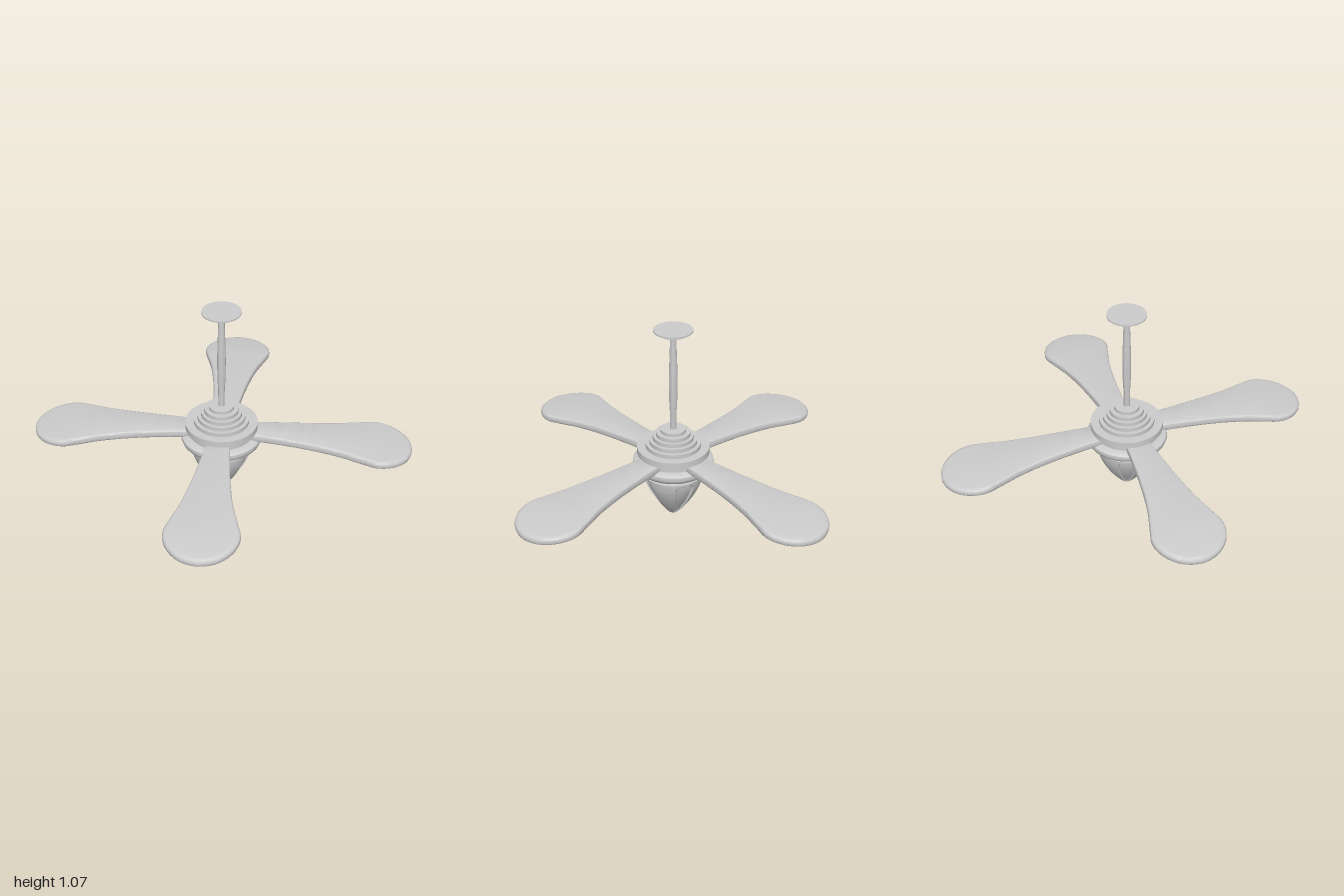
import * as THREE from 'three';
import { toCreasedNormals } from 'three/addons/utils/BufferGeometryUtils.js';

const material = new THREE.MeshStandardMaterial({ color: 0xcccccc, side: THREE.DoubleSide });

function addMesh(parent, name, geometry, crease = 0.6) {
  const mesh = new THREE.Mesh(toCreasedNormals(geometry, crease), material);
  mesh.name = name;
  parent.add(mesh);
  return mesh;
}

// Profile points are [radius, height], listed from bottom to top
function turned(parent, name, profile, segments = 64) {
  const points = profile.map(([r, y]) => new THREE.Vector2(r, y));
  return addMesh(parent, name, new THREE.LatheGeometry(points, segments));
}

// Stack of discs: [radius, bottom, top], listed from bottom to top
function steppedProfile(steps) {
  const profile = [[0, steps[0][1]]];
  for (const [r, y0, y1] of steps) profile.push([r, y0], [r, y1]);
  profile.push([0, steps[steps.length - 1][2]]);
  return profile;
}

// Paddle blade along +x: rounded-edge cross-sections that droop towards the tip
function bladeGeometry() {
  const outline = new THREE.SplineCurve([
    [0.15, 0.062], [0.4, 0.09], [0.6, 0.125], [0.73, 0.163], [0.82, 0.186],
    [0.9, 0.164], [0.96, 0.113], [0.99, 0.055], [1, 0],
  ].map(([x, w]) => new THREE.Vector2(x, w))).getPoints(56);
  // [side, inset from outline, height from the middle]
  const half = [[0.022, 0.021], [0.009, 0.019], [0.002, 0.013], [0, 0.007],
    [0, -0.007], [0.002, -0.013], [0.009, -0.019], [0.022, -0.021]];
  const section = [
    ...half.map(([i, h]) => [1, i, h]),
    ...half.slice().reverse().map(([i, h]) => [-1, i, h]),
  ];
  const n = section.length;
  const positions = [], index = [];
  outline.forEach(({ x, y: w }, row) => {
    for (const [side, inset, h] of section) {
      const px = 0.15 + (x - 0.15) * (1 - inset / 0.85);
      const drop = 0.051 * Math.pow(Math.max(0, (px - 0.15) / 0.85), 1.9);
      const z = side * w * (1 - inset / 0.19) + 0.005 * (px - 0.15);
      positions.push(px, 0.354 - drop + h, z);
    }
    if (row === 0) return;
    for (let j = 0; j < n; j++) {
      const a = (row - 1) * n + j, b = (row - 1) * n + (j + 1) % n;
      index.push(a, a + n, b, b, a + n, b + n);
    }
  });
  for (let j = 1; j < n - 1; j++) index.push(0, j, j + 1);
  const geometry = new THREE.BufferGeometry();
  geometry.setAttribute('position', new THREE.Float32BufferAttribute(positions, 3));
  geometry.setIndex(index);
  return geometry;
}

// Bullet-shaped shade with four recessed, round-topped panels
function shadeGeometry() {
  const curve = new THREE.SplineCurve([
    [0, 0], [0.022, 0.004], [0.05, 0.033], [0.086, 0.08], [0.12, 0.135],
    [0.145, 0.19], [0.156, 0.23], [0.16, 0.255],
  ].map(([r, y]) => new THREE.Vector2(r, y)));
  const points = curve.getPoints(56);
  points[0].x = 0;
  points.push(new THREE.Vector2(0.14, 0.257), new THREE.Vector2(0, 0.257));
  const geometry = new THREE.LatheGeometry(points, 180);
  const p = geometry.attributes.position;
  for (let i = 0; i < p.count; i++) {
    const x = p.getX(i), y = p.getY(i), z = p.getZ(i), r = Math.hypot(x, z);
    if (r < 0.02 || y > 0.25) continue;
    const deg = (THREE.MathUtils.radToDeg(Math.atan2(x, z)) + 360) % 90;
    const u = Math.abs(deg - 70) / 20;
    const v = Math.abs(y - 0.128) / 0.113;
    const edge = Math.pow(u, 6) + Math.pow(v, 6);
    const depth = 0.013 * (1 - THREE.MathUtils.smoothstep(edge, 0.55, 1)) * Math.min(1, r / 0.08);
    p.setX(i, x * (1 - depth / r));
    p.setZ(i, z * (1 - depth / r));
  }
  return geometry;
}

export function createModel() {
  const fan = new THREE.Group();
  fan.name = 'ceilingFan';

  // Ceiling mount and slightly swollen rod
  turned(fan, 'ceilingMount', steppedProfile([
    [0.035, 1.026, 1.036], [0.055, 1.036, 1.046], [0.075, 1.046, 1.058], [0.1, 1.062, 1.07],
  ]));
  turned(fan, 'downRod', [
    [0, 0.5], [0.016, 0.5], [0.017, 0.6], [0.021, 0.68], [0.022, 0.77],
    [0.021, 0.86], [0.018, 0.94], [0.016, 1.03], [0, 1.03],
  ], 32);

  // Stepped motor housing
  turned(fan, 'motorHousing', steppedProfile([
    [0.19, 0.373, 0.409], [0.145, 0.409, 0.431], [0.125, 0.431, 0.452],
    [0.107, 0.452, 0.473], [0.09, 0.473, 0.494], [0.066, 0.494, 0.511],
  ]));
  turned(fan, 'motorCore', steppedProfile([[0.17, 0.33, 0.375]]));

  // Rounded ring under the blades
  turned(fan, 'lowerRing', [
    [0, 0.275], [0.165, 0.277], [0.19, 0.286], [0.207, 0.3], [0.213, 0.317],
    [0.211, 0.332], [0.2, 0.34], [0.17, 0.343], [0, 0.343],
  ]);

  // Four blades
  const blade = bladeGeometry();
  for (let i = 0; i < 4; i++) {
    addMesh(fan, 'blade' + (i + 1), blade, 0.8).rotation.y = i * Math.PI / 2;
  }

  // Light fitting
  turned(fan, 'shadeCollar', steppedProfile([[0.14, 0.255, 0.264], [0.15, 0.264, 0.28]]));
  addMesh(fan, 'lightShade', shadeGeometry(), 0.5);

  return fan;
}
